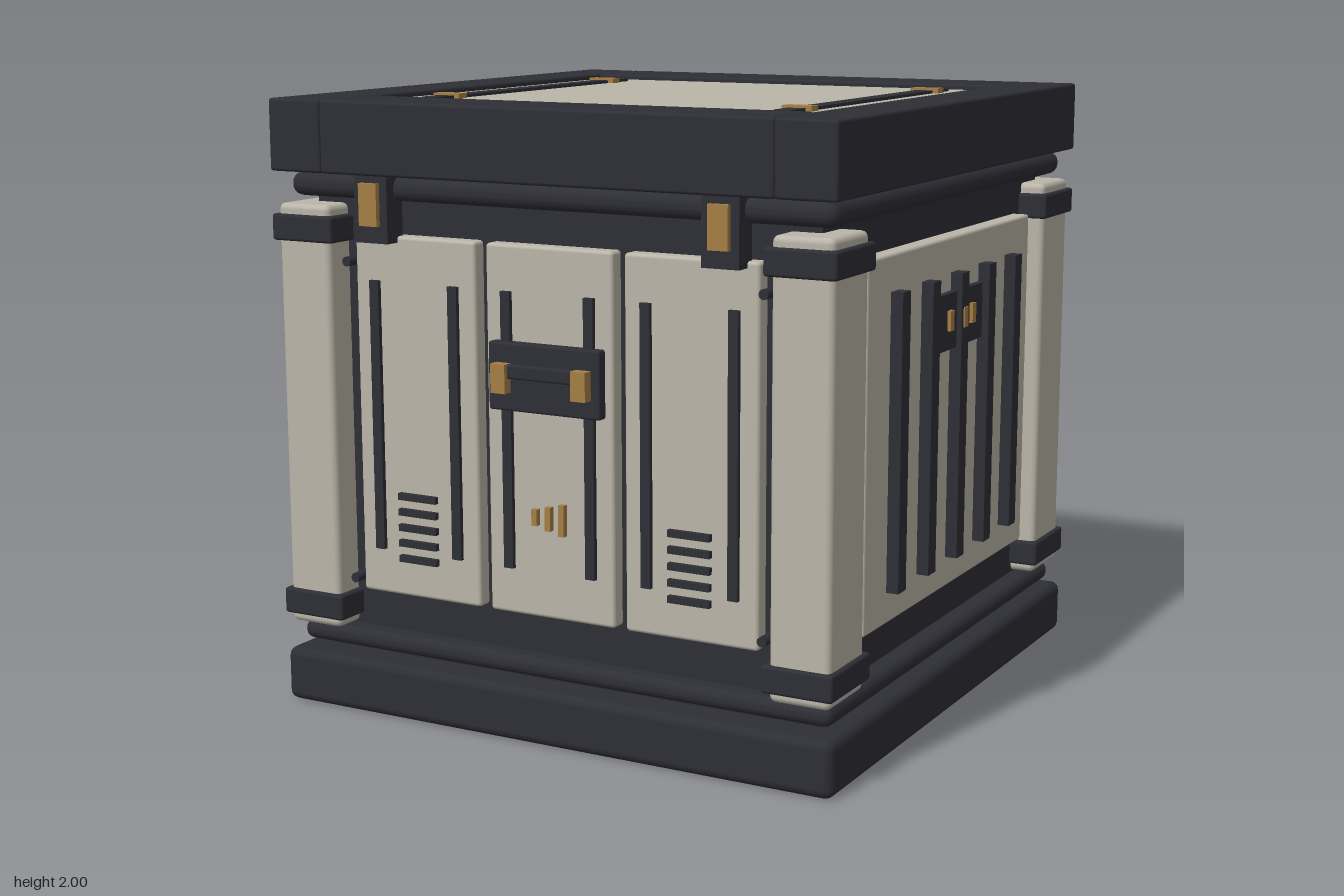
import * as THREE from 'three';
import { RoundedBoxGeometry } from 'three/addons/geometries/RoundedBoxGeometry.js';

const mat = (name, color) => {
  const m = new THREE.MeshStandardMaterial({ color });
  m.name = name;
  return m;
};

export function createModel() {
  const dark = mat('charcoal', 0x2e2e36);
  const beige = mat('beige', 0xbab5a8);
  const brass = mat('brass', 0xa67f45);
  const root = new THREE.Group();
  root.name = 'crate';

  // Box given by its min/max extents, with optional rounded edges
  function box(parent, name, m, x0, x1, y0, y1, z0, z1, r = 0) {
    const w = x1 - x0, h = y1 - y0, d = z1 - z0;
    const geo = r ? new RoundedBoxGeometry(w, h, d, 2, r) : new THREE.BoxGeometry(w, h, d);
    const mesh = new THREE.Mesh(geo, m);
    mesh.name = name;
    mesh.position.set((x0 + x1) / 2, (y0 + y1) / 2, (z0 + z1) / 2);
    parent.add(mesh);
    return mesh;
  }
  function group(name) {
    const g = new THREE.Group();
    g.name = name;
    root.add(g);
    return g;
  }

  // Base, rims and inner body
  box(root, 'base', dark, -1, 1, 0, 0.18, -1, 1, 0.03);
  box(root, 'lowerRim', dark, -0.97, 0.97, 0.2, 0.265, -0.945, 0.945, 0.03);
  box(root, 'body', dark, -0.9, 0.9, 0.17, 1.78, -0.88, 0.88);
  box(root, 'upperRim', dark, -0.97, 0.97, 1.685, 1.763, -0.945, 0.945, 0.036);

  // Lid: four beams around an inset panel
  const lid = group('lid');
  for (const s of [-1, 1]) {
    const cx = s * 0.9, cz = s * 0.865;
    box(lid, 'lidSideBeam', dark, cx - 0.1, cx + 0.1, 1.768, 2, -1, 1, 0.01);
    box(lid, 'lidCrossBeam', dark, -0.8, 0.8, 1.768, 2, cz - 0.135, cz + 0.135, 0.01);
    const bx = s * 0.64;
    box(lid, 'lidStrip', dark, bx - 0.03, bx + 0.03, 1.97, 1.993, -0.62, 0.62);
    for (const z of [-0.5, 0.5])
      box(lid, 'lidClip', brass, bx - 0.05, bx + 0.05, 1.97, 2, z - 0.024, z + 0.024);
  }
  box(lid, 'lidCore', dark, -0.85, 0.85, 1.768, 1.9, -0.8, 0.8);
  box(lid, 'lidPanel', beige, -0.79, 0.79, 1.88, 1.983, -0.725, 0.725, 0.008);

  // Corner posts with brackets
  for (const sx of [-1, 1]) for (const sz of [-1, 1]) {
    const g = group('cornerPost');
    const cx = sx * 0.885, cz = sz * 0.8625;
    box(g, 'post', beige, cx - 0.1, cx + 0.1, 0.27, 1.665, cz - 0.1225, cz + 0.1225, 0.02);
    const bx = sx * 0.8825, bz = sz * 0.861;
    for (const y of [0.3, 1.545])
      box(g, 'bracket', dark, bx - 0.1175, bx + 0.1175, y, y + 0.086, bz - 0.139, bz + 0.139, 0.01);
  }

  // Front and back faces, mirrored in z
  for (const s of [-1, 1]) {
    const g = group(s > 0 ? 'frontFace' : 'backFace');
    const add = (name, m, x0, x1, y0, y1, z0, z1, r) =>
      box(g, name, m, x0, x1, y0, y1, Math.min(s * z0, s * z1), Math.max(s * z0, s * z1), r);

    for (const x of [-0.495, 0, 0.495]) {
      add('doorPanel', beige, x - 0.228, x + 0.228, 0.4, 1.575, 0.85, 0.93, 0.012);
      for (const o of [-0.149, 0.149])
        add('doorStrip', dark, x + o - 0.017, x + o + 0.017, 0.55, 1.43, 0.92, 0.945);
      if (x !== 0) for (let i = 0; i < 5; i++) {
        const y = 0.528 + i * 0.0515;
        add('ventSlat', dark, x - 0.072, x + 0.072, y - 0.011, y + 0.011, 0.92, 0.948);
      }
    }
    // Handle
    add('handlePlate', dark, -0.2, 0.2, 1.06, 1.275, 0.92, 0.965, 0.008);
    add('handleBar', dark, -0.15, 0.15, 1.165, 1.21, 0.95, 0.985, 0.008);
    for (const x of [-0.144, 0.144])
      add('handleMount', brass, x - 0.026, x + 0.026, 1.12, 1.212, 0.95, 1);
    // Rising indicator bars
    [0.026, 0.038, 0.05].forEach((h, i) => {
      const x = (i - 1) * 0.049;
      add('indicator', brass, x - 0.01, x + 0.01, 0.726 - h, 0.726 + h, 0.92, 0.95);
    });
    for (const x of [-0.62, 0.62]) {
      add('latchPlate', dark, x - 0.062, x + 0.062, 1.555, 1.768, 0.9, 0.982);
      add('latch', brass, x - 0.034, x + 0.034, 1.61, 1.745, 0.96, 1);
    }
    // Corner bolts
    for (const x of [-0.745, 0.745]) for (const y of [0.44, 1.485]) {
      const bolt = new THREE.Mesh(new THREE.CylinderGeometry(0.016, 0.016, 0.08, 12), dark);
      bolt.name = 'bolt';
      bolt.rotation.x = Math.PI / 2;
      bolt.position.set(x, y, s * 0.91);
      g.add(bolt);
    }
  }

  // Left and right faces, mirrored in x
  for (const s of [-1, 1]) {
    const g = group(s > 0 ? 'leftFace' : 'rightFace');
    const add = (name, m, x0, x1, y0, y1, z0, z1, r) =>
      box(g, name, m, Math.min(s * x0, s * x1), Math.max(s * x0, s * x1), y0, y1, z0, z1, r);

    add('sidePanel', beige, 0.85, 0.955, 0.408, 1.565, -0.68, 0.68, 0.01);
    for (let i = -2; i <= 2; i++)
      add('sideRib', dark, 0.94, 0.995, 0.51, 1.45, i * 0.24 - 0.03, i * 0.24 + 0.03);
    add('sidePlate', dark, 0.94, 0.978, 1.21, 1.392, -0.192, 0.192);
    for (const z of [-0.094, 0, 0.094])
      add('sidePin', brass, 0.96, z === 0 ? 1 : 0.99, 1.273, 1.338, z - 0.015, z + 0.015);
  }
  return root;
}
